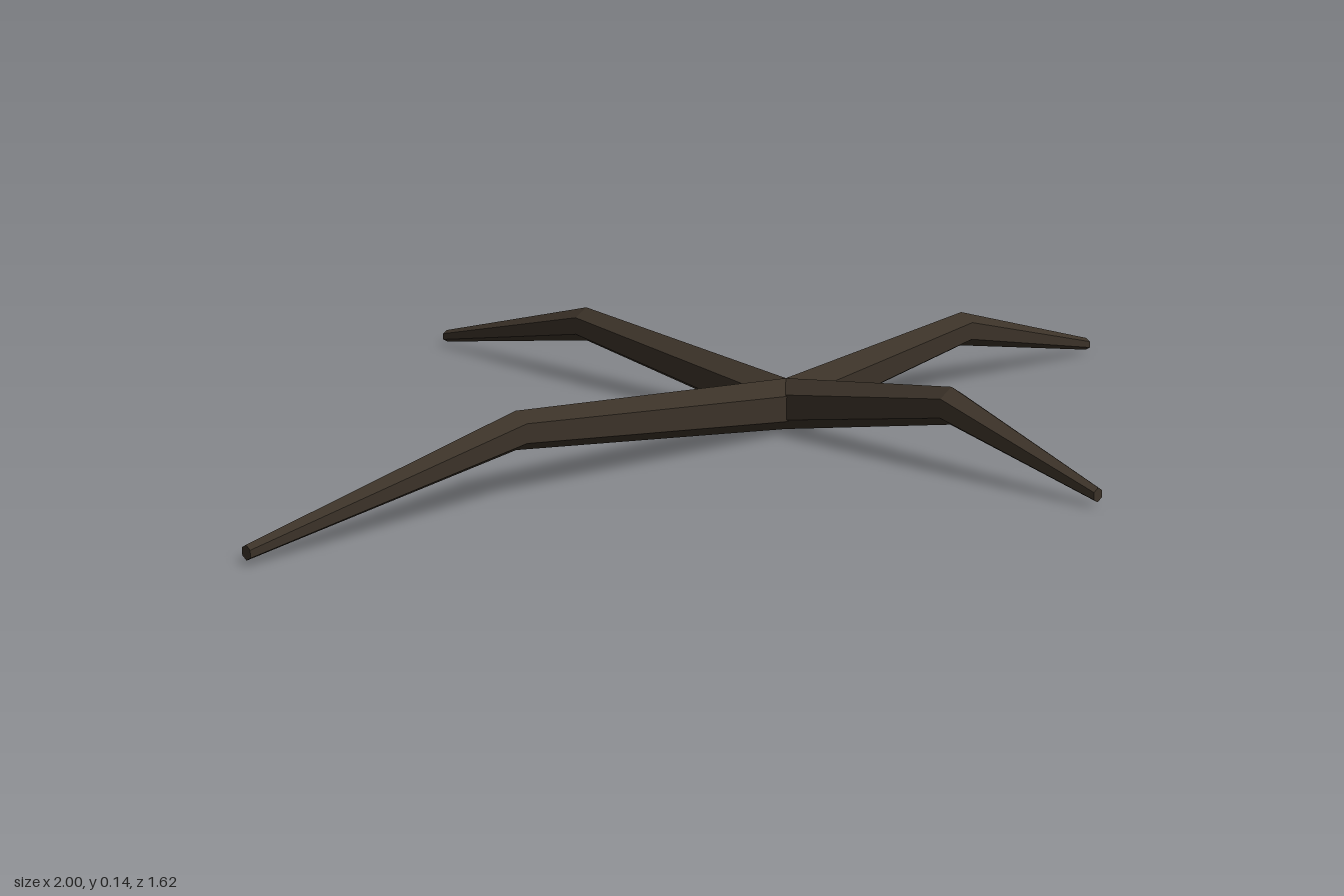
import * as THREE from 'three';

const SIDES = 6;

// Six-sided tapered bar along x; each station is [x, centre height, radius]
function barGeometry(stations) {
  const pos = [];
  const ring = ([x, y, r]) => Array.from({ length: SIDES }, (_, i) => {
    const a = (i / SIDES) * Math.PI * 2;
    return [x, y + r * Math.cos(a), r * Math.sin(a)];
  });
  const rings = stations.map(ring);
  const tri = (a, b, c) => pos.push(...a, ...b, ...c);
  for (let s = 0; s < rings.length - 1; s++) {
    for (let i = 0; i < SIDES; i++) {
      const j = (i + 1) % SIDES;
      const a = rings[s][i], b = rings[s][j], c = rings[s + 1][j], d = rings[s + 1][i];
      tri(a, b, c);
      tri(a, c, d);
    }
  }
  // End caps
  const first = rings[0], last = rings[rings.length - 1];
  for (let i = 1; i < SIDES - 1; i++) {
    tri(first[0], first[i + 1], first[i]);
    tri(last[0], last[i], last[i + 1]);
  }
  const geo = new THREE.BufferGeometry();
  geo.setAttribute('position', new THREE.Float32BufferAttribute(pos, 3));
  geo.computeVertexNormals();
  return geo;
}

// Bar with a low middle, two raised knees and two drooping tips
function bentBar(tipA, kneeA, kneeB, tipB) {
  return barGeometry([
    [tipA, 0.02, 0.012],
    [kneeA, 0.11, 0.032],
    [0, 0.047, 0.046],
    [kneeB, 0.11, 0.032],
    [tipB, 0.02, 0.012],
  ]);
}

export function createModel() {
  const model = new THREE.Group();
  model.name = 'crossedBranches';
  const wood = new THREE.MeshStandardMaterial({ color: 0x3b3228, flatShading: true });
  wood.name = 'darkWood';

  // Both bars cross at this point
  const cx = 0.128, cz = 0.137;

  const side = new THREE.Mesh(bentBar(-1 - cx, -0.49 - cx, 0.605 - cx, 1 - cx), wood);
  side.name = 'sidewaysBranch';
  side.position.set(cx, 0, cz);

  // Local +x turns to -z
  const long = new THREE.Mesh(bentBar(cz - 0.81, cz - 0.51, cz + 0.385, cz + 0.81), wood);
  long.name = 'lengthwiseBranch';
  long.position.set(cx, 0, cz);
  long.rotation.y = Math.PI / 2;

  model.add(side, long);
  return model;
}
